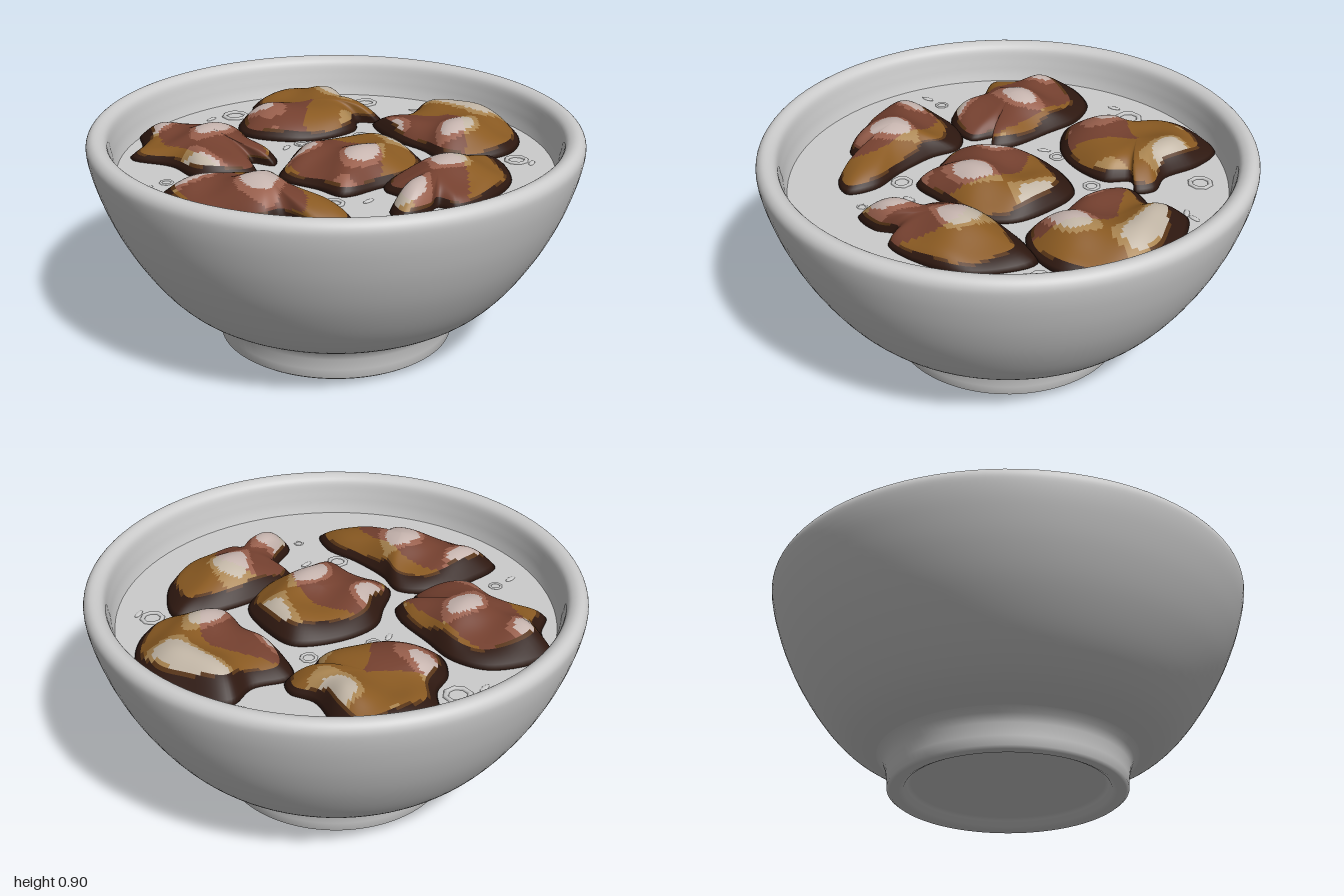
import * as THREE from 'three';

const SOUP_Y = 0.74;
const grey = (side = THREE.FrontSide) => new THREE.MeshStandardMaterial({ color: 0xcccccc, side });
const v2 = (pts) => pts.map(([x, y]) => new THREE.Vector2(x, y));

function add(parent, name, geometry, material) {
  const mesh = new THREE.Mesh(geometry, material);
  mesh.name = name;
  parent.add(mesh);
  return mesh;
}

// Glaze colours from burnt edge to pale highlights
const TONES = [0x2e1810, 0x573416, 0x8a5a22, 0xa98450, 0xc2b6a6, 0x74402f, 0x985f4c, 0xc6b4ae]
  .map((color) => new THREE.MeshStandardMaterial({ color }));

// Wrinkle pattern shared by height and colour
const wrinkle = (x, z, seed) =>
  0.6 * Math.sin(15 * x + 5 * z + seed + 1.5 * Math.sin(9 * z + seed)) +
  0.4 * Math.sin(17 * z - 12 * x + seed * 2.3);

function toneAt(s, angle, x, z, seed) {
  const burnt = 0.07 + 0.12 * Math.max(0, -Math.sin(angle));
  const edge = 1 - s + 0.025 * Math.sin(angle * 5 + seed);
  if (edge < burnt) return 0;
  if (edge < burnt + 0.03) return 1;
  const w = wrinkle(x, z, seed);
  const light = w > 0.5 ? 2 : w > 0.22 ? 1 : 0;
  const red = Math.sin(8 * x - 4 * z + seed * 1.7) > s * 1.7 - 1;
  return (red ? 5 : 2) + light;
}

// Meat chunk: rings shrink from an outline to a wrinkled, rounded top
function meatChunk(name, seed, outline) {
  const SEG = 96, RINGS = 24;
  const curve = new THREE.CatmullRomCurve3(
    outline.map(([x, z]) => new THREE.Vector3(x, 0, z)), true, 'centripetal');
  const edge = curve.getPoints(SEG).slice(0, SEG);
  const c = outline.reduce((a, [x, z]) => a.add(new THREE.Vector3(x, 0, z)), new THREE.Vector3())
    .divideScalar(outline.length);
  const pos = [], info = [];
  for (let r = 0; r <= RINGS + 1; r++) {
    const under = r === 0;
    const s = under ? 0.92 : 1 - (r - 1) / RINGS;
    for (const p of edge) {
      const dx = p.x - c.x, dz = p.z - c.z;
      const x = c.x + dx * s, z = c.z + dz * s;
      const angle = Math.atan2(dz, dx);
      const rise = 1 - Math.pow(s, 4);
      const y = under ? 0.71
        : 0.745 + 0.085 * rise + 0.028 * rise * wrinkle(x, z, seed) + 0.012 * (1 - s);
      pos.push(x, y, z + (under ? 0 : 0.02 * rise * s));
      info.push([under ? 1 : s, angle, x, z]);
    }
  }
  const faces = TONES.map(() => []), all = [];
  for (let r = 0; r <= RINGS; r++) {
    for (let i = 0; i < SEG; i++) {
      const a = r * SEG + i, b = r * SEG + (i + 1) % SEG;
      const quad = [a, a + SEG, b, b, a + SEG, b + SEG];
      all.push(...quad);
      faces[toneAt(...info[a], seed)].push(...quad);
    }
  }
  const base = new THREE.BufferGeometry();
  base.setAttribute('position', new THREE.Float32BufferAttribute(pos, 3));
  base.setIndex(all);
  // Make sure the top faces up whichever way the outline runs
  base.computeVertexNormals();
  const flip = base.attributes.normal.getY(12 * SEG) < 0;
  if (flip) {
    base.setIndex(all.reverse());
    base.computeVertexNormals();
  }
  const group = new THREE.Group();
  group.name = name;
  faces.forEach((index, t) => {
    if (!index.length) return;
    const g = new THREE.BufferGeometry();
    g.setAttribute('position', base.attributes.position);
    g.setAttribute('normal', base.attributes.normal);
    g.setIndex(flip ? index.reverse() : index);
    add(group, t < 2 ? 'burntEdge' : 'glaze', g, TONES[t]);
  });
  return group;
}

export function createModel() {
  const model = new THREE.Group();

  // Bowl wall: from the foot outwards, over the rim and down inside
  const wall = new THREE.SplineCurve(v2([
    [0.535, 0.155], [0.64, 0.207], [0.72, 0.275], [0.8, 0.375], [0.88, 0.505], [0.94, 0.635],
    [0.98, 0.755], [0.998, 0.84], [0.996, 0.88], [0.975, 0.903], [0.945, 0.903], [0.918, 0.88],
    [0.905, 0.82], [0.887, 0.74], [0.82, 0.56], [0.7, 0.38], [0.45, 0.24], [0, 0.2],
  ])).getPoints(80);
  wall[wall.length - 1].x = 0;
  add(model, 'bowl', new THREE.LatheGeometry(wall, 96), grey(THREE.DoubleSide));

  // Foot ring with a shallow recess underneath
  const foot = v2([
    [0, 0.045], [0.39, 0.045], [0.405, 0.035], [0.42, 0.012], [0.44, 0.002], [0.475, 0.002],
    [0.488, 0.012], [0.49, 0.05], [0.497, 0.1], [0.51, 0.135], [0.535, 0.156], [0.56, 0.17],
  ]);
  add(model, 'foot', new THREE.LatheGeometry(foot, 96), grey(THREE.DoubleSide));

  // Soup surface
  const soup = add(model, 'soup', new THREE.CircleGeometry(0.887, 96), grey());
  soup.rotation.x = -Math.PI / 2;
  soup.position.y = SOUP_Y;

  // Meat chunks, outlines in x and z
  model.add(meatChunk('backMeat', 1.1, [[-.19, -.78], [-.02, -.88], [.11, -.88], [.19, -.76],
    [.23, -.59], [.31, -.51], [.3, -.43], [.21, -.45], [.17, -.35], [.03, -.28], [-.13, -.28],
    [-.31, -.4], [-.3, -.55], [-.23, -.64]]));
  model.add(meatChunk('backRightMeat', 2.7, [[-.73, -.51], [-.48, -.55], [-.35, -.45], [-.29, -.29],
    [-.23, -.1], [-.25, -.02], [-.33, -.07], [-.34, .04], [-.45, .08], [-.58, .04], [-.66, -.11],
    [-.81, -.23], [-.75, -.35]]));
  model.add(meatChunk('frontRightMeat', 4.2, [[-.75, .2], [-.64, .12], [-.42, .06], [-.29, .11],
    [-.26, .24], [-.18, .4], [-.09, .53], [-.09, .65], [-.21, .65], [-.32, .53], [-.41, .55],
    [-.57, .45], [-.69, .35]]));
  model.add(meatChunk('centreMeat', 5.3, [[-.26, .13], [-.19, -.03], [-.13, -.14], [.03, -.21],
    [.22, -.2], [.3, -.08], [.34, .11], [.25, .25], [.09, .32], [-.06, .37], [-.14, .27]]));
  model.add(meatChunk('backLeftMeat', 6.6, [[.27, -.42], [.43, -.45], [.53, -.54], [.7, -.44],
    [.82, -.32], [.82, -.08], [.73, .07], [.57, .12], [.43, .08], [.38, -.05], [.29, -.21]]));
  model.add(meatChunk('frontLeftMeat', 8.4, [[.14, .27], [.33, .16], [.54, .11], [.64, .12],
    [.63, .35], [.54, .48], [.33, .6], [.26, .55], [.2, .62], [.09, .65], [.07, .56], [.15, .43],
    [.11, .35]]));

  // Floating onion rings: x, z, outer radius
  for (const [x, z, r] of [[-.3, -.67, .06], [.31, -.71, .053], [.18, -.29, .037], [-.09, -.25, .033],
    [-.7, .055, .03], [.725, .145, .052], [-.11, .415, .046], [.016, .615, .022]]) {
    const ring = add(model, 'onionRing', new THREE.TorusGeometry(r * 0.8, r * 0.2, 6, 8), grey());
    ring.rotation.x = Math.PI / 2;
    ring.scale.z = 0.7;
    ring.position.set(x, SOUP_Y, z);
  }

  // Floating slivers of leaf: x, z, turn
  for (const [x, z, turn] of [[-.41, -.65, .7], [-.16, -.22, 1], [-.78, .095, .6], [.5, -.555, -.5],
    [.545, -.565, .3], [.025, .425, .6], [.775, .19, 1]]) {
    const leaf = add(model, 'leafSliver', new THREE.SphereGeometry(1, 8, 6), grey());
    leaf.scale.set(0.03, 0.006, 0.012);
    leaf.rotation.y = turn;
    leaf.position.set(x, SOUP_Y, z);
  }
  return model;
}
